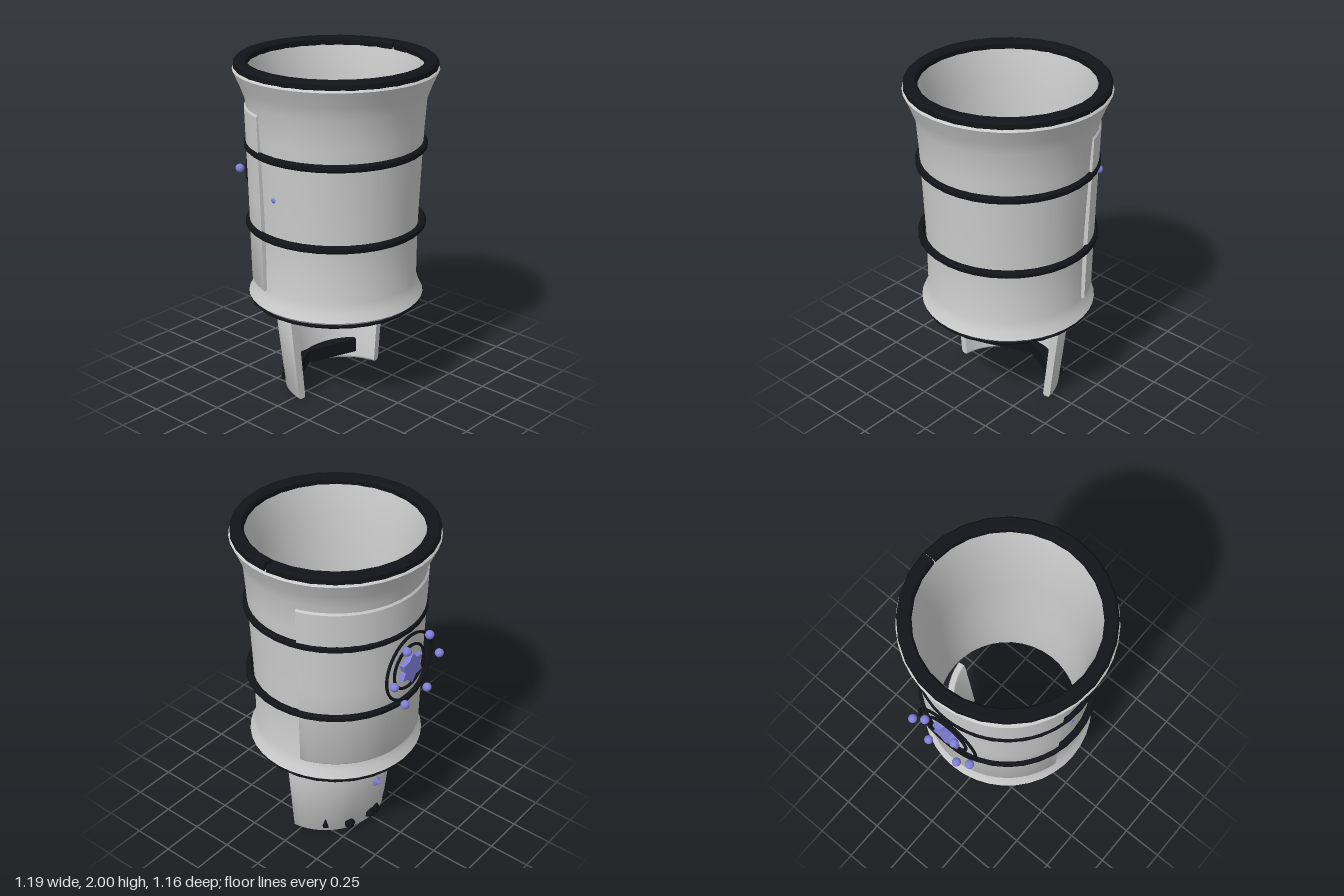
import * as THREE from 'three';
import { mergeGeometries, toCreasedNormals } from 'three/addons/utils/BufferGeometryUtils.js';

const grey = new THREE.MeshStandardMaterial({ color: 0xcccccc, side: THREE.DoubleSide });
const black = new THREE.MeshStandardMaterial({ color: 0x121419, side: THREE.DoubleSide });
const blue = new THREE.MeshStandardMaterial({ color: 0x8080d8 });

// Sweep a closed [radius, y] section around y; partial sweeps get end caps
function sweep(points, segments, start = 0, length = Math.PI * 2, crease = 0.6) {
  const pts = points.map(([r, y]) => new THREE.Vector2(r, y));
  const parts = [new THREE.LatheGeometry([...pts, pts[0].clone()], segments, start, length)];
  if (length < Math.PI * 2 - 1e-4) {
    for (const phi of [start, start + length]) {
      parts.push(new THREE.ShapeGeometry(new THREE.Shape(pts)).rotateY(phi - Math.PI / 2));
    }
  }
  return toCreasedNormals(mergeGeometries(parts), crease);
}

// Chamfered rectangular section of a band, listed outer side first
function bandSection(r0, r1, y0, y1, c) {
  return [[r1 - c, y0], [r1, y0 + c], [r1, y1 - c], [r1 - c, y1],
    [r0 + c, y1], [r0, y1 - c], [r0, y0 + c], [r0 + c, y0]];
}

export function createModel() {
  const group = new THREE.Group();
  const add = (name, geometry, material, x = 0, y = 0, z = 0, parent = group) => {
    const mesh = new THREE.Mesh(geometry, material);
    mesh.name = name;
    mesh.position.set(x, y, z);
    parent.add(mesh);
    return mesh;
  };
  const cx = 0.01;
  const side = Math.PI * 1.5; // sweep angle facing -x

  // Flared sleeve with an inner wall
  add('sleeve', sweep([
    [0.49, 0.575], [0.515, 0.6], [0.492, 0.645], [0.475, 0.7], [0.476, 1.0], [0.488, 1.3],
    [0.502, 1.6], [0.515, 1.78], [0.545, 1.86], [0.582, 1.945], [0.565, 1.965],
    [0.505, 1.965], [0.465, 1.78], [0.445, 1.4], [0.43, 1.0], [0.42, 0.7], [0.425, 0.575],
  ], 40), grey, cx);

  // Dark rims and hoops; the top rim has a narrow slit at the back
  add('topRim', sweep(bandSection(0.498, 0.576, 1.945, 2.0, 0.014), 28, Math.PI + 0.012, Math.PI * 2 - 0.024),
    black, cx);
  add('bottomRim', sweep(bandSection(0.43, 0.507, 0.56, 0.592, 0.012), 28), black, cx);
  for (const y of [1.04, 1.508]) {
    add('hoop', sweep(bandSection(0.485, 0.525, y - 0.021, y + 0.021, 0.011), 36), black, cx);
  }

  // Curved outer panel on the -x side
  const panelHalf = 1.31;
  add('sidePanel', sweep([
    [0.46, 0.69], [0.488, 0.69], [0.495, 0.7], [0.505, 1.2], [0.52, 1.73], [0.512, 1.742], [0.47, 1.742],
  ], 28, side - panelHalf, panelHalf * 2), grey, cx);

  // Round badge: two thin rings, six beads and a faceted centre plate
  const badge = new THREE.Group();
  badge.name = 'badge';
  badge.position.set(-0.514, 1.27, 0);
  badge.rotation.y = -Math.PI / 2; // local +z points outward
  group.add(badge);
  for (const r of [0.205, 0.135]) {
    add('badgeRing', new THREE.TorusGeometry(r, 0.009, 6, 40), black, 0, 0, 0, badge);
  }
  for (let i = 0; i < 6; i++) {
    const a = i * Math.PI / 3;
    add('badgeBead', new THREE.SphereGeometry(0.026, 16, 12), blue,
      0.208 * Math.cos(a), 0.208 * Math.sin(a), 0.056, badge);
  }
  const plate = new THREE.Shape();
  for (let i = 0; i < 12; i++) {
    const a = i * Math.PI / 6 + Math.PI / 6, r = i % 2 ? 0.066 : 0.1;
    plate[i ? 'lineTo' : 'moveTo'](r * Math.cos(a), r * Math.sin(a));
  }
  add('badgePlate', new THREE.ExtrudeGeometry(plate, { depth: 0.03, bevelEnabled: false }), blue, 0, 0, -0.004, badge);

  // Small stud on the front and the thin plate behind it inside the sleeve
  add('frontStud', new THREE.IcosahedronGeometry(0.018, 1), blue, -0.02, 1.27, 0.478);
  const inner = add('innerPlate', new THREE.CylinderGeometry(0.115, 0.115, 0.012, 6), grey, 0, 1.27, 0.405);
  inner.rotation.x = Math.PI / 2;

  // Tapered half shell below the sleeve
  const half = 1.44;
  add('lowerShell', sweep([
    [0.355, 0], [0.365, 0.012], [0.425, 0.57], [0.418, 0.585], [0.385, 0.585], [0.375, 0.57], [0.318, 0.012], [0.325, 0],
  ], 24, side - half, half * 2), grey, 0.09);

  // Faceted stud through the middle of the shell
  const stud = new THREE.SphereGeometry(0.054, 6, 2).toNonIndexed();
  stud.computeVertexNormals();
  add('shellStud', stud, blue, -0.287, 0.31, 0).rotation.z = Math.PI / 2;

  // Paired dark pads inside the shell, with knobs showing outside
  for (const s of [-1, 1]) {
    const pad = new THREE.Shape();
    pad.moveTo(-0.212, 0);
    pad.lineTo(-0.062, 0.27 * s);
    pad.lineTo(-0.1, 0.288 * s);
    pad.quadraticCurveTo(-0.23, 0.2 * s, -0.26, 0);
    const geometry = new THREE.ExtrudeGeometry(pad, { depth: 0.085, bevelEnabled: false, curveSegments: 5 });
    geometry.rotateX(Math.PI / 2).translate(0, 0.105, 0);
    // Tilt the pad up towards its outer end
    const p = geometry.attributes.position;
    for (let i = 0; i < p.count; i++) p.setY(i, p.getY(i) + 0.12 * Math.abs(p.getZ(i)));
    geometry.computeVertexNormals();
    add('innerPad', geometry, black);
    add('outerKnob', new THREE.IcosahedronGeometry(0.038, 0), black, -0.235, 0.052, 0.17 * s);
    add('sideSpike', new THREE.ConeGeometry(0.024, 0.06, 4), black, -0.147, 0.085, 0.292 * s);
    add('middleKnob', new THREE.IcosahedronGeometry(0.038, 0), black, -0.275, 0.06, 0.025 * s);
  }
  return group;
}
